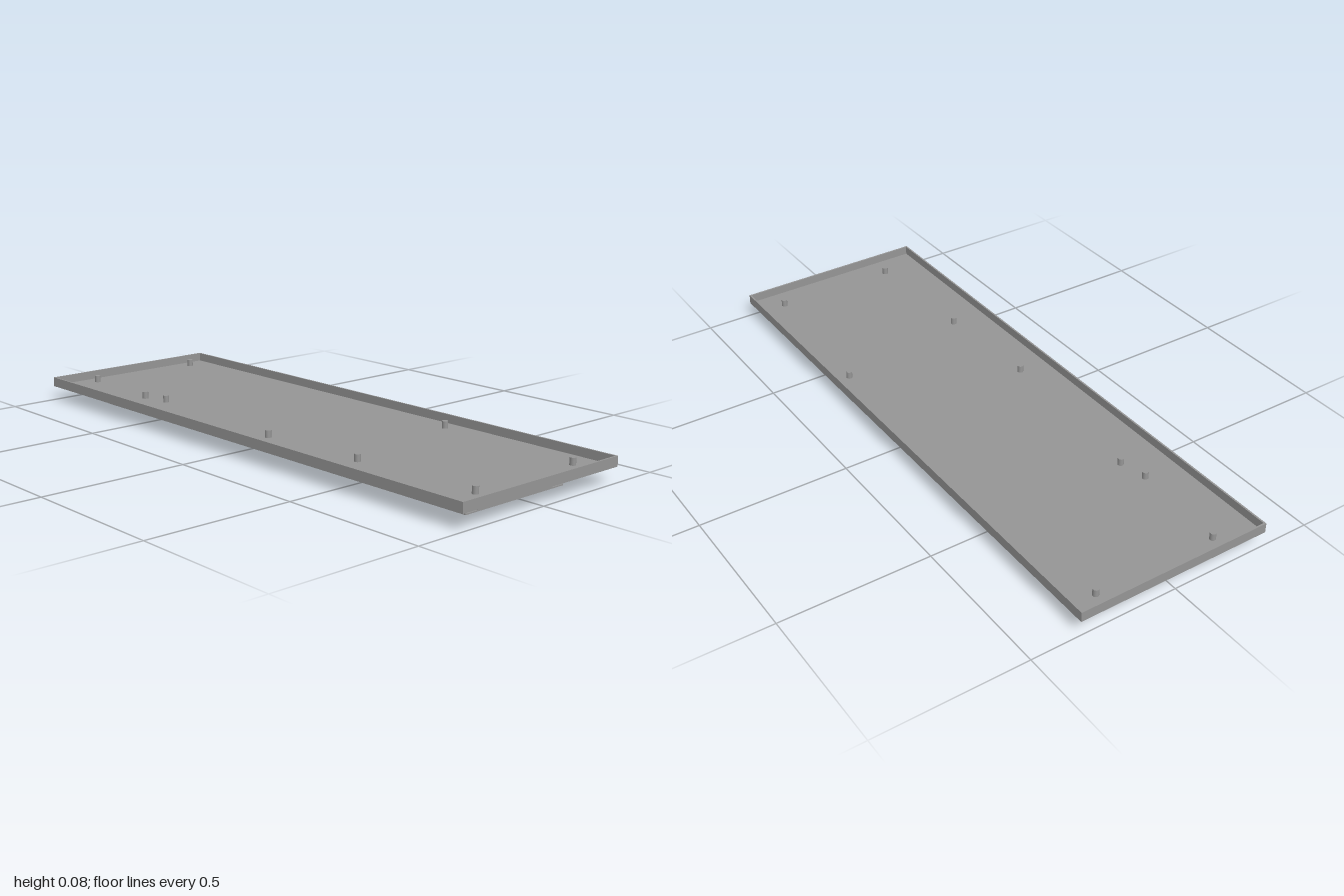
import * as THREE from 'three';

const gray = new THREE.MeshStandardMaterial({ color: 0x959595 });
gray.name = 'mid gray';

export function createModel() {
  const model = new THREE.Group();
  model.name = 'enclosureTray';

  const add = (name, geometry, x = 0, y = 0, z = 0) => {
    const mesh = new THREE.Mesh(geometry, gray);
    mesh.name = name;
    mesh.position.set(x, y, z);
    model.add(mesh);
    return mesh;
  };
  // Box given by its limits on each axis
  const block = (name, x0, x1, y0, y1, z0, z1) =>
    add(name, new THREE.BoxGeometry(x1 - x0, y1 - y0, z1 - z0),
      (x0 + x1) / 2, (y0 + y1) / 2, (z0 + z1) / 2);

  // Shallow tray: thin floor and four upright walls
  const W = 1, D = 0.335, t = 0.006, low = 0.05, top = 0.083, floor = 0.054;
  block('trayFloor', -W + t, W - t, low, floor, -D + t, D - t);
  for (const s of [-1, 1]) {
    const x = s * (W - t / 2), z = s * (D - t / 2);
    block('trayEndWall', x - t / 2, x + t / 2, low, top, -D, D);
    block('traySideWall', -W + t, W - t, low, top, z - t / 2, z + t / 2);
  }

  // Mounting posts standing on the tray floor
  const postHeight = 0.024;
  const posts = [
    [-0.94, -0.24], [0.91, -0.24], [-0.94, 0.185], [0.91, 0.185], [-0.61, 0.205],
    [-0.515, 0.185], [0.08, 0.225], [0.465, 0.205], [0.37, -0.275],
  ];
  for (const [x, z] of posts) {
    add('mountingPost', new THREE.CylinderGeometry(0.01, 0.01, postHeight, 20),
      x, floor + postHeight / 2, z);
  }

  // Lower body: thin plates above and below a core notched at two corners
  const x0 = -0.82, x1 = 0.91, z0 = -0.2, z1 = 0.222;
  const notchX = 0.645, backZ = -0.15, frontZ = 0.175, panel = 0.01;
  const lip = 0.004, ceiling = 0.045;
  block('bodyBottomPlate', x0, x1, 0, lip, z0, z1);
  block('bodyTopPlate', x0, x1, ceiling, low, z0, z1);
  const core = new THREE.Shape([
    [x0, z0], [notchX, z0], [notchX, backZ], [x1, backZ],
    [x1, frontZ - panel], [notchX, frontZ - panel], [notchX, z1], [x0, z1],
  ].map(([x, z]) => new THREE.Vector2(x, -z)));
  const coreGeometry = new THREE.ExtrudeGeometry(core, { depth: ceiling - lip, bevelEnabled: false });
  coreGeometry.rotateX(-Math.PI / 2);
  add('bodyCore', coreGeometry, 0, lip, 0);

  // Port panel with three square openings in the front corner recess
  const face = new THREE.Shape([
    [notchX, lip], [x1, lip], [x1, ceiling], [notchX, ceiling],
  ].map(([x, y]) => new THREE.Vector2(x, y)));
  for (const x of [0.688, 0.737, 0.787]) {
    const w = 0.015, y0 = 0.015, y1 = 0.036;
    face.holes.push(new THREE.Path([
      [x - w, y0], [x - w, y1], [x + w, y1], [x + w, y0],
    ].map(([px, py]) => new THREE.Vector2(px, py))));
  }
  add('portPanel', new THREE.ExtrudeGeometry(face, { depth: panel, bevelEnabled: false }),
    0, 0, frontZ - panel);

  return model;
}
